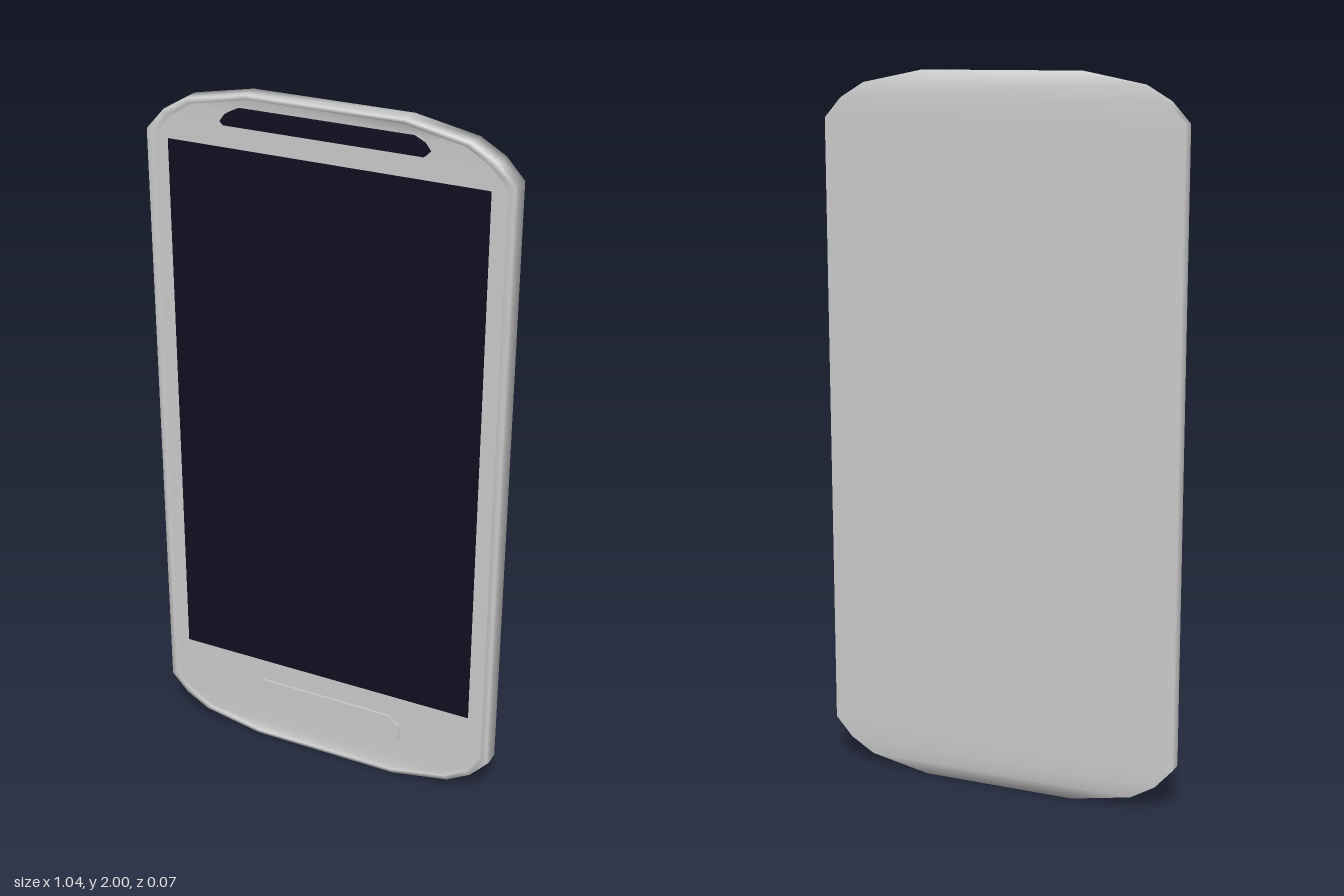
import * as THREE from 'three';

const grey = new THREE.MeshStandardMaterial({ color: 0xcccccc });
const dark = new THREE.MeshStandardMaterial({ color: 0x110d20 });

// Upper corner of the case outline, relative to mid height
const corner = [[0.52, 0.87], [0.47, 0.925], [0.4, 0.966], [0.225, 1]];

// Full outline, counter-clockwise from the bottom right
function outline(insetX, insetY) {
  const top = corner.map(([x, y]) => [x * (1 - insetX / 0.52), y * (1 - insetY)]);
  const right = [...top.map(([x, y]) => [x, -y]).reverse(), ...top];
  return [...right, ...right.map(([x, y]) => [-x, y]).reverse()];
}

// Smooth shell lofted from the back edge, round the rim and into the shallow front recess
function caseGeometry() {
  const rings = [
    [0, 0, -0.035], [0, 0, 0.008], [0.003, 0.002, 0.02],
    [0.02, 0.012, 0.02], [0.026, 0.016, 0.012],
  ];
  const n = corner.length * 4;
  const position = [];
  const index = [];
  for (const [ix, iy, z] of rings) {
    for (const [x, y] of outline(ix, iy)) position.push(x, y + 1, z);
  }
  for (let r = 0; r < rings.length - 1; r++) {
    for (let i = 0; i < n; i++) {
      const j = (i + 1) % n;
      const a = r * n + i, b = r * n + j, c = b + n, d = a + n;
      index.push(a, b, c, a, c, d);
    }
  }
  // Back and recess floor, as strips running from side to side
  const last = (rings.length - 1) * n;
  for (let i = 0; i < n / 2 - 1; i++) {
    const [a, b, c, d] = [i, i + 1, n - 2 - i, n - 1 - i];
    index.push(a, c, b, a, d, c);
    index.push(last + a, last + b, last + c, last + a, last + c, last + d);
  }
  const geometry = new THREE.BufferGeometry();
  geometry.setAttribute('position', new THREE.Float32BufferAttribute(position, 3));
  geometry.setIndex(index);
  geometry.computeVertexNormals();
  return geometry;
}

// Flat plate with the given outline between two depths
function plate(points, z0, z1) {
  const shape = new THREE.Shape(points.map(([x, y]) => new THREE.Vector2(x, y)));
  return new THREE.ExtrudeGeometry(shape, { depth: z1 - z0, bevelEnabled: false }).translate(0, 0, z0);
}

export function createModel() {
  const group = new THREE.Group();
  const add = (name, geometry, material) => {
    const mesh = new THREE.Mesh(geometry, material);
    mesh.name = name;
    group.add(mesh);
  };

  add('case', caseGeometry(), grey);

  // Display panel
  add('screen', plate([[-0.457, 0.27], [0.452, 0.27], [0.452, 1.848], [-0.457, 1.848]], 0.011, 0.015), dark);

  // Earpiece bar, standing proud of the rim
  add('earpiece', plate([
    [-0.28, 1.915], [0.28, 1.915], [0.29, 1.925], [0.275, 1.945], [0.245, 1.96],
    [-0.245, 1.96], [-0.275, 1.945], [-0.29, 1.925],
  ], 0.011, 0.034), dark);

  // Home button with clipped corners
  add('homeButton', plate([
    [-0.2, 0.092], [0.2, 0.092], [0.24, 0.125], [0.24, 0.17], [0.205, 0.2],
    [-0.205, 0.2], [-0.24, 0.17], [-0.24, 0.125],
  ], 0.011, 0.017), grey);

  return group;
}
